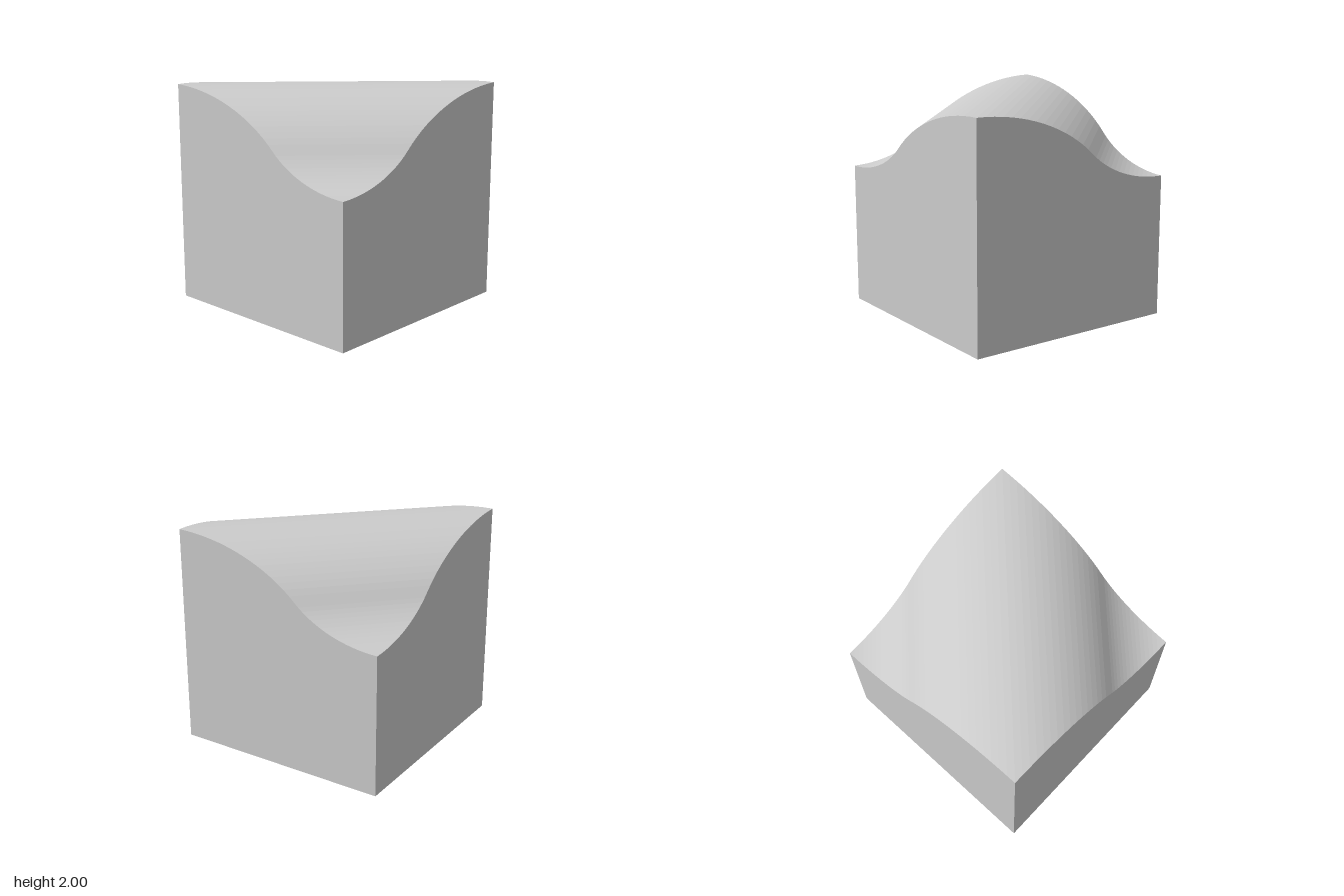
import * as THREE from 'three';

const STEPS = 16; // facets per arc
const R1 = 0.75 * Math.SQRT2; // convex crown radius
const R2 = 0.5 * Math.SQRT2; // concave foot radius
const BEND = Math.asin(0.8); // angle at which the two arcs meet
const HALF = Math.SQRT2; // half of the square's diagonal

// Half profile from ridge to corner: [distance from ridge, height]
function halfProfile() {
  const points = [];
  for (let i = 0; i <= STEPS; i++) {
    const a = (BEND * i) / STEPS;
    points.push([R1 * Math.sin(a), 2 - R1 * (1 - Math.cos(a))]);
  }
  const low = 2 - (R1 + R2) * (1 - Math.cos(BEND));
  for (let i = STEPS - 1; i >= 0; i--) {
    const a = (BEND * i) / STEPS;
    points.push([HALF - R2 * Math.sin(a), low + R2 * (1 - Math.cos(a))]);
  }
  return points;
}

// Upright slice through the square block, parallel to the diagonal ridge
function slice([s, y]) {
  const d = s * Math.SQRT2;
  const a = d >= 0 ? [1, 1 - d] : [1 + d, 1];
  const b = d >= 0 ? [d - 1, -1] : [-1, -1 - d];
  return [[a, y], [b, y], [b, 0], [a, 0]].map(([p, h]) => new THREE.Vector3(p[0], h, p[1]));
}

function createBlockGeometry() {
  const half = halfProfile();
  const mirrored = half.slice(1).reverse().map(([s, y]) => [-s, y]);
  const slices = [...mirrored, ...half].map(slice);
  const positions = [];
  const addTriangle = (...corners) => {
    if (new THREE.Triangle(...corners).getArea() < 1e-8) return;
    corners.forEach((p) => positions.push(p.x, p.y, p.z));
  };
  // Join neighbouring slices: top, walls and floor
  for (let i = 0; i < slices.length - 1; i++) {
    for (let k = 0; k < 4; k++) {
      const n = (k + 1) % 4;
      const [p, q] = [slices[i], slices[i + 1]];
      addTriangle(p[k], q[k], q[n]);
      addTriangle(p[k], q[n], p[n]);
    }
  }
  const geometry = new THREE.BufferGeometry();
  geometry.setAttribute('position', new THREE.Float32BufferAttribute(positions, 3));
  geometry.computeVertexNormals();
  return geometry;
}

export function createModel() {
  const group = new THREE.Group();
  group.name = 'diagonalRidgeBlock';
  const material = new THREE.MeshStandardMaterial({ color: 0xcccccc, flatShading: true });
  const block = new THREE.Mesh(createBlockGeometry(), material);
  block.name = 'curvedTopBlock';
  group.add(block);
  return group;
}
